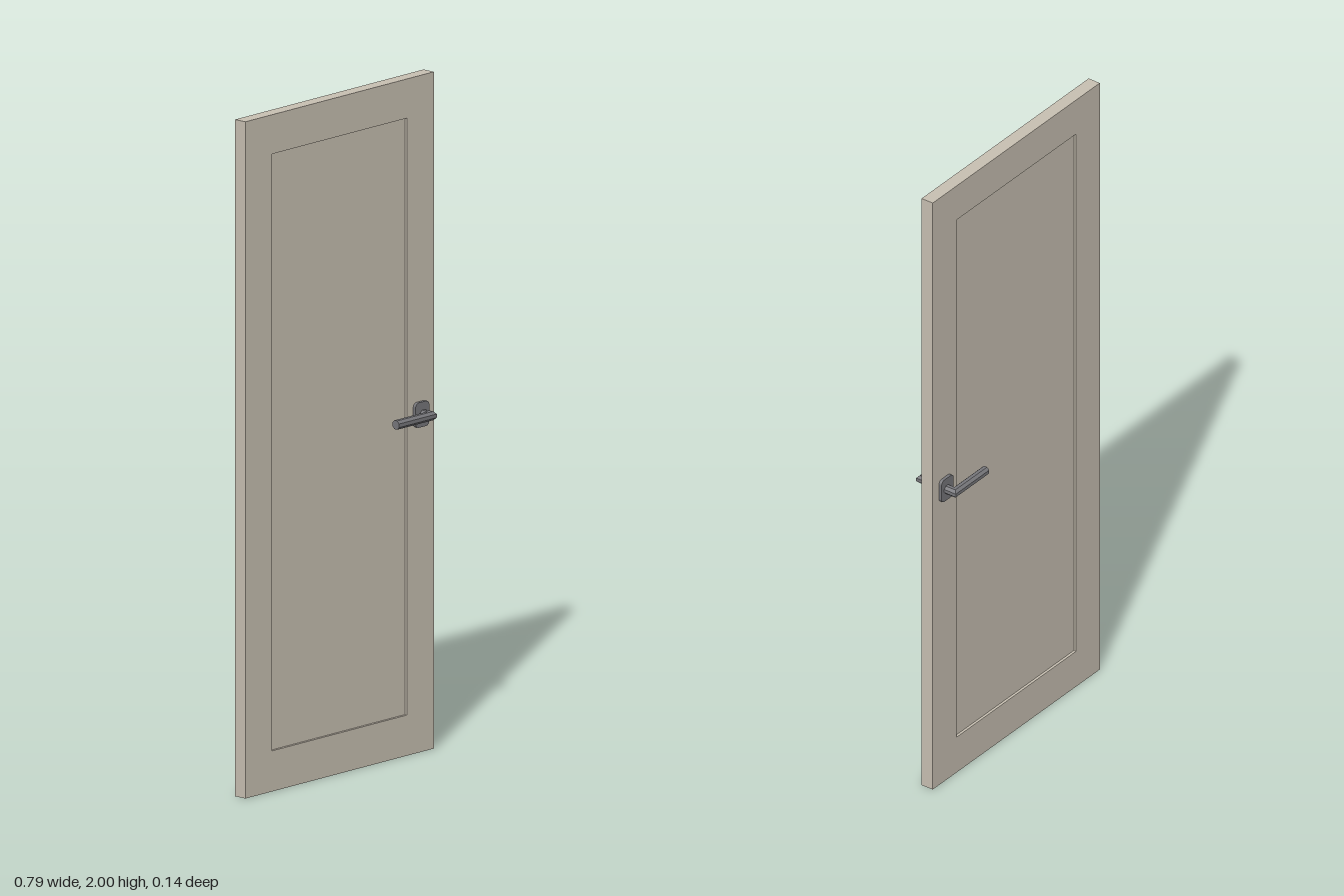
import * as THREE from 'three';

// Rectangle outline, with optional rounded corners
function rectPath(Type, x0, y0, x1, y1, r = 0) {
  const p = new Type();
  p.moveTo(x0 + r, y0);
  p.lineTo(x1 - r, y0);
  if (r) p.absarc(x1 - r, y0 + r, r, -Math.PI / 2, 0);
  p.lineTo(x1, y1 - r);
  if (r) p.absarc(x1 - r, y1 - r, r, 0, Math.PI / 2);
  p.lineTo(x0 + r, y1);
  if (r) p.absarc(x0 + r, y1 - r, r, Math.PI / 2, Math.PI);
  p.lineTo(x0, y0 + r);
  if (r) p.absarc(x0 + r, y0 + r, r, Math.PI, Math.PI * 1.5);
  p.closePath();
  return p;
}

// L-shaped octagonal bar with a mitred corner: neck along +z, grip along -x
function leverGeometry(neckX, neckZ, gripX, gripZ, flat) {
  const sides = 8, radius = flat / 2 / Math.cos(Math.PI / sides);
  const positions = [], indices = [];
  for (let ring = 0; ring < 3; ring++) {
    for (let i = 0; i < sides; i++) {
      const a = (i + 0.5) / sides * Math.PI * 2;
      const v = radius * Math.cos(a), y = radius * Math.sin(a);
      positions.push(ring < 2 ? neckX + v : gripX, y, ring > 0 ? gripZ + v : neckZ);
    }
  }
  for (let ring = 0; ring < 2; ring++) {
    for (let i = 0; i < sides; i++) {
      const j = (i + 1) % sides, a = ring * sides, b = a + sides;
      indices.push(a + i, a + j, b + j, a + i, b + j, b + i);
    }
  }
  for (let i = 1; i < sides - 1; i++) {
    indices.push(2 * sides, 2 * sides + i, 2 * sides + i + 1); // end of the grip
  }
  const g = new THREE.BufferGeometry();
  g.setAttribute('position', new THREE.Float32BufferAttribute(positions, 3));
  g.setIndex(indices);
  const faceted = g.toNonIndexed();
  faceted.computeVertexNormals();
  return faceted;
}

export function createModel() {
  const paint = new THREE.MeshStandardMaterial({ color: 0xc8c0b2 });
  paint.name = 'warm grey paint';
  const metal = new THREE.MeshStandardMaterial({ color: 0x77777b });
  metal.name = 'grey metal';

  const model = new THREE.Group();
  model.name = 'door';
  const add = (parent, name, geometry, material) => {
    const mesh = new THREE.Mesh(geometry, material);
    mesh.name = name;
    parent.add(mesh);
    return mesh;
  };

  // Door leaf: frame around a panel recessed on both faces
  const outline = rectPath(THREE.Shape, -0.397, 0, 0.397, 2);
  outline.holes.push(rectPath(THREE.Path, -0.284, 0.12, 0.284, 1.884));
  const frame = new THREE.ExtrudeGeometry(outline, { depth: 0.04, bevelEnabled: false });
  add(model, 'frame', frame.translate(0, 0, -0.02), paint);
  add(model, 'panel', new THREE.BoxGeometry(0.568, 1.764, 0.024), paint).position.y = 1.002;

  // Handle set on each face
  const rosette = new THREE.ExtrudeGeometry(
    rectPath(THREE.Shape, 0.31, -0.037, 0.368, 0.037, 0.014),
    { depth: 0.01, bevelEnabled: false, curveSegments: 4 }
  ).translate(0, 0, 0.0195);
  const lever = leverGeometry(0.342, 0.028, 0.196, 0.058, 0.026);
  for (const [name, turn] of [['frontHandle', 0], ['backHandle', Math.PI]]) {
    const handle = new THREE.Group();
    handle.name = name;
    handle.position.y = 1;
    handle.rotation.x = turn;
    add(handle, 'rosette', rosette, metal);
    add(handle, 'lever', lever, metal);
    model.add(handle);
  }
  return model;
}
